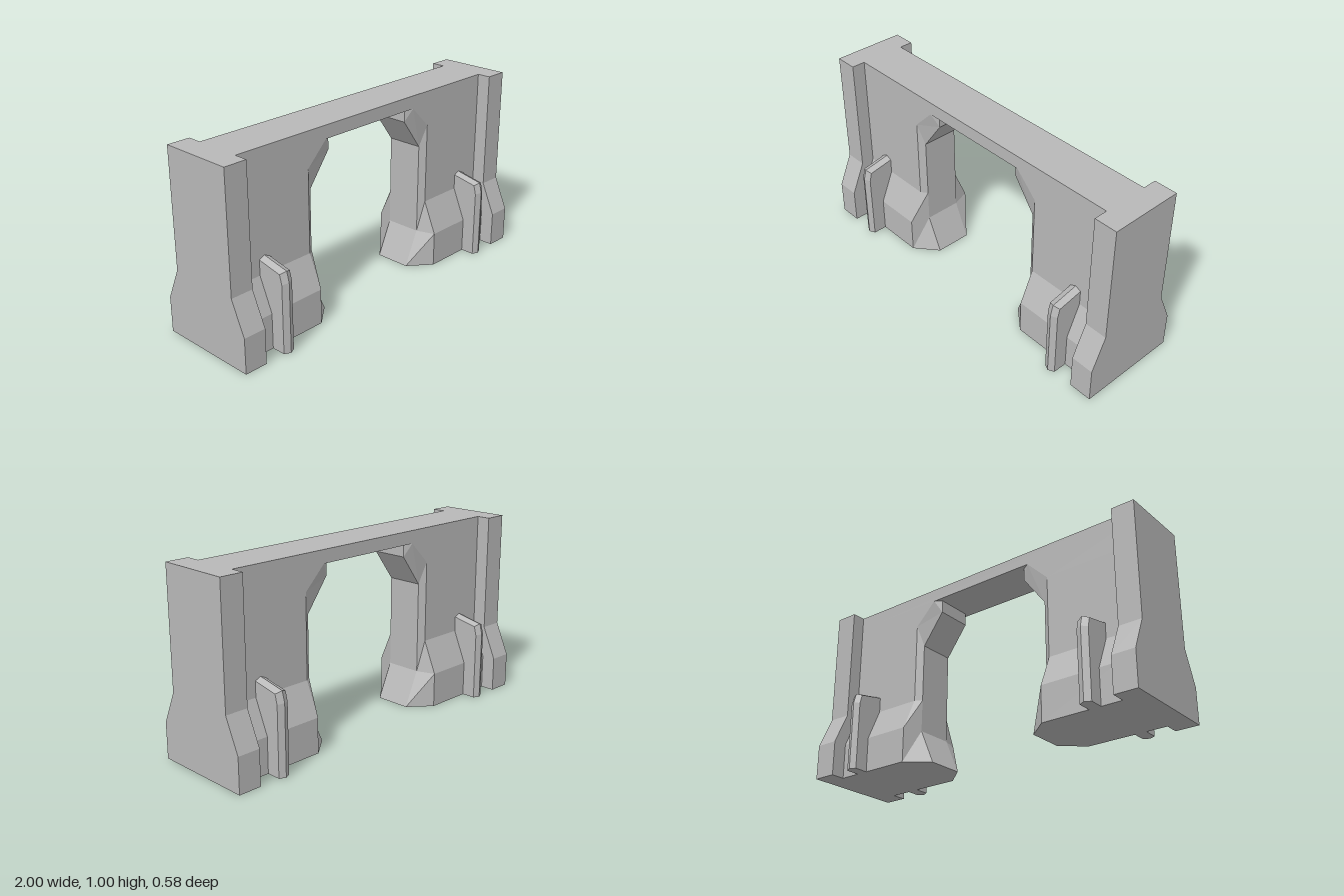
import * as THREE from 'three';

// Skin a stack of rings (listed from bottom to top) with flat faces and closed ends.
function loft(rings) {
  const pos = [];
  const n = rings[0].length;
  const a = new THREE.Vector3(), b = new THREE.Vector3(), c = new THREE.Vector3();
  const tri = (p, q, r) => {
    a.set(...p); b.set(...q); c.set(...r);
    if (b.sub(a).cross(c.sub(a)).length() > 1e-8) pos.push(...p, ...q, ...r);
  };
  for (let k = 0; k < rings.length - 1; k++) {
    const lo = rings[k], hi = rings[k + 1];
    for (let i = 0; i < n; i++) {
      const j = (i + 1) % n;
      tri(lo[i], lo[j], hi[j]);
      tri(lo[i], hi[j], hi[i]);
    }
  }
  const bottom = rings[0], top = rings[rings.length - 1];
  for (let i = 1; i < n - 1; i++) {
    tri(bottom[0], bottom[i + 1], bottom[i]);
    tri(top[0], top[i], top[i + 1]);
  }
  const geometry = new THREE.BufferGeometry();
  geometry.setAttribute('position', new THREE.Float32BufferAttribute(pos, 3));
  geometry.computeVertexNormals();
  return geometry;
}

const END = 0.875; // where the wall meets the end pilasters

// Wall beside the opening: chamfered jamb, flared foot and corbel under the lintel.
// Each level: inner edge x, inner y, face edge x, face y, face z
function wallGeometry() {
  const inZ = 0.1;
  const levels = [
    [0.32, 0, 0.44, 0, 0.2],
    [0.405, 0.19, 0.44, 0.19, 0.2],
    [0.405, 0.365, 0.44, 0.365, 0.125],
    [0.405, 0.69, 0.44, 0.81, 0.125],
    [0.28, 0.86, 0.32, 0.93, 0.125],
    [0.28, 0.93, 0.32, 0.93, 0.125],
  ];
  return loft(levels.map(([xi, yi, xo, yo, z]) => [
    [xi, yi, inZ], [xo, yo, z], [END, yo, z],
    [END, yo, -z], [xo, yo, -z], [xi, yi, -inZ],
  ]));
}

// Full-height pilaster at the end, flared at the foot
function pilasterGeometry() {
  const levels = [[0, 0.278], [0.19, 0.278], [0.365, 0.2], [1, 0.2]];
  return loft(levels.map(([y, z]) => [
    [END, y, z], [1, y, z], [1, y, -z], [END, y, -z],
  ]));
}

// Buttress rib with a ridged nose. Each level: side z, side y, ridge z, ridge y
function ribGeometry() {
  const w = 0.032, back = 0.1;
  const levels = [
    [0.276, 0, 0.292, 0],
    [0.276, 0.37, 0.292, 0.375],
    [0.263, 0.42, 0.277, 0.432],
    [0.12, 0.448, 0.12, 0.463],
  ];
  return loft(levels.map(([sz, sy, rz, ry]) => [
    [-w, sy, sz], [0, ry, rz], [w, sy, sz], [w, sy, back], [-w, sy, back],
  ]));
}

export function createModel() {
  const model = new THREE.Group();
  model.name = 'gateway';
  const stone = new THREE.MeshStandardMaterial({ color: 0xb8b8b8 });
  stone.name = 'grey stone';

  const add = (parent, name, geometry) => {
    const mesh = new THREE.Mesh(geometry, stone);
    mesh.name = name;
    parent.add(mesh);
    return mesh;
  };

  // Lintel across the opening and both walls
  add(model, 'lintel', new THREE.BoxGeometry(END * 2, 0.07, 0.25)).position.y = 0.965;

  const wall = wallGeometry(), pilaster = pilasterGeometry(), rib = ribGeometry();
  for (const side of ['left', 'right']) {
    const pier = new THREE.Group();
    pier.name = side + 'Pier';
    add(pier, 'wall', wall);
    add(pier, 'endPilaster', pilaster);
    // One rib on each face of the wall
    for (const turn of [0, Math.PI]) {
      const mesh = add(pier, 'buttressRib', rib);
      mesh.position.x = 0.732;
      mesh.rotation.y = turn;
    }
    if (side === 'right') pier.rotation.y = Math.PI;
    model.add(pier);
  }
  return model;
}
